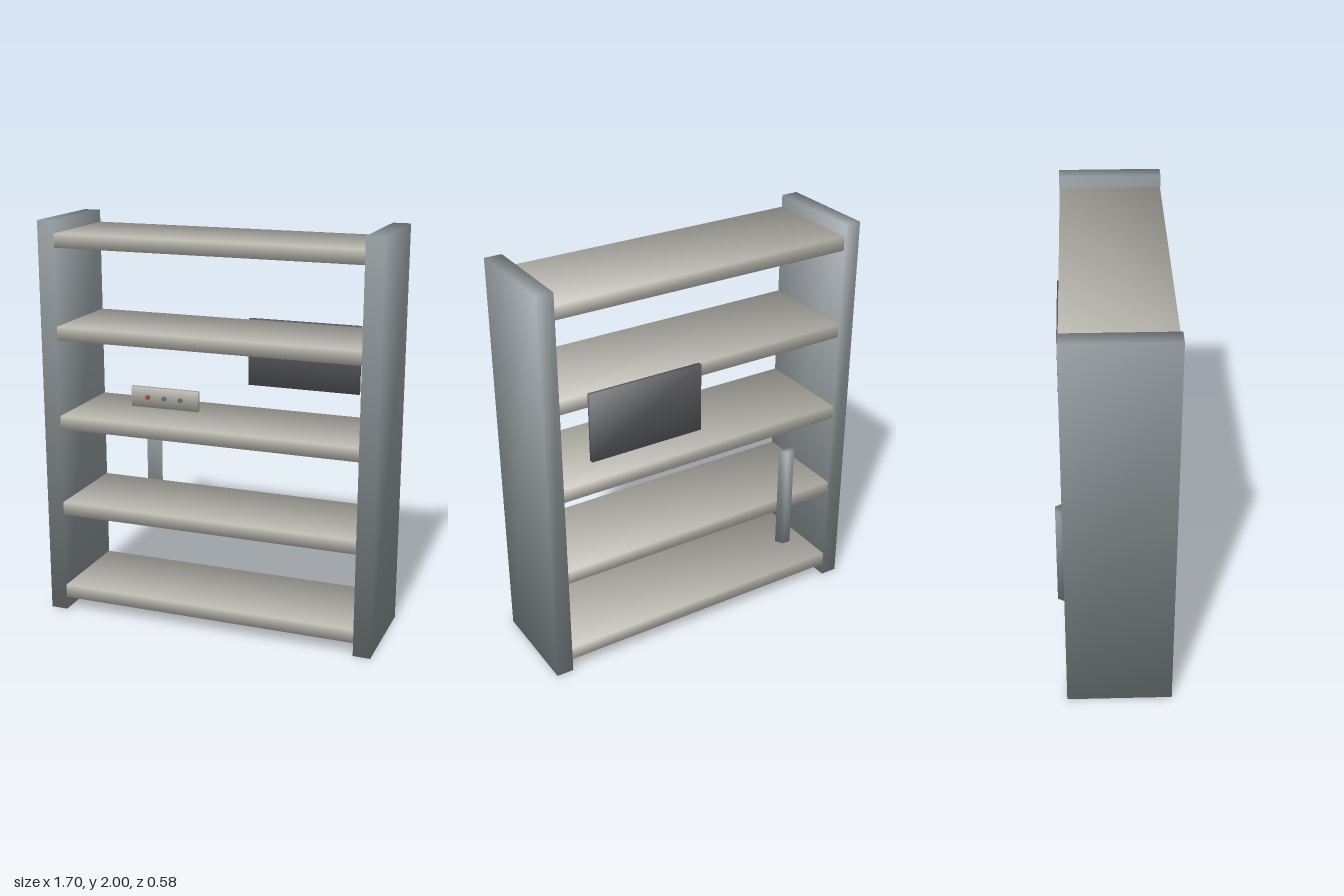
import * as THREE from 'three';

const paint = (color) => new THREE.MeshStandardMaterial({ color });
const coolGrey = paint(0x90989b);
const warmGrey = paint(0xc2c0b6);
const darkGrey = paint(0x626469);

// corner normals point diagonally outwards, so the shading runs softly over the edges
function soften(geometry) {
  geometry.center();
  const p = geometry.attributes.position;
  const normal = new THREE.Vector3();
  for (let i = 0; i < p.count; i++) {
    normal.set(Math.sign(p.getX(i)), Math.sign(p.getY(i)), Math.sign(p.getZ(i))).normalize();
    geometry.attributes.normal.setXYZ(i, normal.x, normal.y, normal.z);
  }
  return geometry;
}

// box given by its lower and upper limits on each axis
function box(name, [x0, x1], [y0, y1], [z0, z1], material) {
  const geometry = soften(new THREE.BoxGeometry(x1 - x0, y1 - y0, z1 - z0));
  const mesh = new THREE.Mesh(geometry, material);
  mesh.position.set((x0 + x1) / 2, (y0 + y1) / 2, (z0 + z1) / 2);
  mesh.name = name;
  return mesh;
}

export function createModel() {
  const model = new THREE.Group();
  model.name = 'shelfUnit';

  // upright side panels
  model.add(box('leftSide', [0.763, 0.849], [0, 2], [-0.253, 0.253], coolGrey));
  model.add(box('rightSide', [-0.849, -0.763], [0, 2], [-0.253, 0.253], coolGrey));

  // five evenly spaced shelves, let into the sides
  for (let i = 0; i < 5; i++) {
    const y = 0.1 + i * 0.4515;
    model.add(box('shelf', [-0.845, 0.845], [y - 0.034, y + 0.034], [-0.251, 0.251], warmGrey));
  }

  // dark panel on the back
  model.add(box('backPanel', [0.047, 0.625], [1.151, 1.492], [-0.275, -0.253], darkGrey));

  // upright cable duct on the back, narrowing outwards
  const section = new THREE.Shape([
    new THREE.Vector2(-0.043, 0.253), new THREE.Vector2(0.043, 0.253),
    new THREE.Vector2(0.021, 0.292), new THREE.Vector2(-0.021, 0.292),
  ]);
  const ductGeometry = new THREE.ExtrudeGeometry(section, { depth: 0.545, bevelEnabled: false });
  ductGeometry.rotateX(-Math.PI / 2); // section y becomes -z, extrusion runs up
  const duct = new THREE.Mesh(soften(ductGeometry), coolGrey);
  duct.position.set(-0.477, 0.6055, -0.2725);
  duct.name = 'cableDuct';
  model.add(duct);

  // control box at the front with three indicator buttons
  const control = new THREE.Group();
  control.name = 'controlBox';
  control.add(box('controlBody', [-0.357, -0.016], [1.137, 1.234], [0.259, 0.281], warmGrey));
  [0xa84848, 0x557a6c, 0x557a6c].forEach((color, i) => {
    const geometry = new THREE.CylinderGeometry(0.011, 0.011, 0.014, 16);
    geometry.rotateX(Math.PI / 2);
    const button = new THREE.Mesh(geometry, paint(color));
    button.position.set(-0.271 + i * 0.084, 1.187, 0.285);
    button.name = 'button';
    control.add(button);
  });
  model.add(control);

  return model;
}
